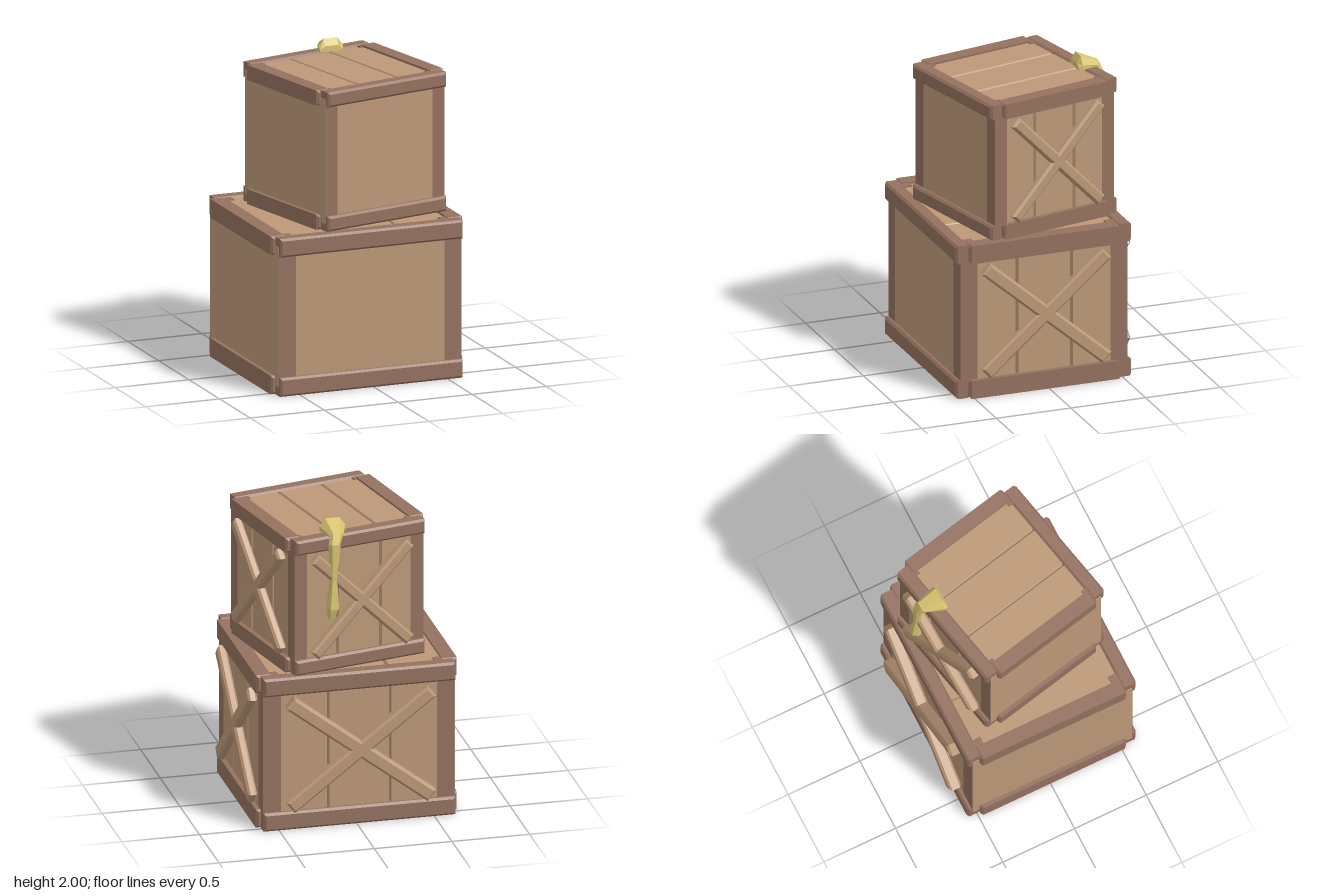
import * as THREE from 'three';

const frameBrown = new THREE.MeshStandardMaterial({ color: 0x94715f });
frameBrown.name = 'frameBrown';
const boardTan = new THREE.MeshStandardMaterial({ color: 0xbc9877 });
boardTan.name = 'boardTan';
const peelYellow = new THREE.MeshStandardMaterial({ color: 0xd8c470 });
peelYellow.name = 'peelYellow';

function add(parent, name, geometry, material, x = 0, y = 0, z = 0) {
  const mesh = new THREE.Mesh(geometry, material);
  mesh.name = name;
  mesh.position.set(x, y, z);
  parent.add(mesh);
  return mesh;
}

// Box with chamfered edges, centred on its origin
function bevelBox(w, h, d, b = 0.014) {
  const x = w / 2 - b, y = h / 2 - b;
  const shape = new THREE.Shape([[-x, -y], [x, -y], [x, y], [-x, y]].map(p => new THREE.Vector2(...p)));
  const geo = new THREE.ExtrudeGeometry(shape, {
    depth: d - 2 * b, bevelEnabled: true, bevelThickness: b, bevelSize: b, bevelSegments: 1,
  });
  return geo.translate(0, 0, b - d / 2);
}

// Boarding with two V grooves along z; outer face is up at y = 0
function boarding(width, length, groove) {
  const t = 0.026, gw = 0.011, gd = 0.018, x = width / 2;
  const pts = [[-x, -t], [x, -t], [x, 0]];
  for (const g of [groove, -groove]) pts.push([g + gw, 0], [g, -gd], [g - gw, 0]);
  pts.push([-x, 0]);
  const shape = new THREE.Shape(pts.map(p => new THREE.Vector2(...p)));
  return new THREE.ExtrudeGeometry(shape, { depth: length, bevelEnabled: false }).translate(0, 0, -length / 2);
}

// Diagonal cross brace facing +z, standing on z = 0
function crossBrace(name, dx, dy, width, depth) {
  const group = new THREE.Group();
  group.name = name;
  for (const s of [-1, 1]) {
    const plank = add(group, 'bracePlank', bevelBox(2 * Math.hypot(dx, dy), width, depth), boardTan, 0, 0, depth / 2);
    plank.rotation.z = s * Math.atan2(dy, dx);
  }
  return group;
}

function crate(name, { hx, hz, H, railH, railW, post, braceW, sideBrace, backBrace }) {
  const g = new THREE.Group();
  g.name = name;
  const out = 0.03, wallH = H - railH, midY = H / 2;
  const endX = hx - post, endZ = hz - post;

  add(g, 'core', new THREE.BoxGeometry(2 * hx - 0.04, H - 0.034, 2 * hz - 0.04), frameBrown, 0, midY - 0.013, 0);

  // Corner posts and the two rings of rails
  for (const sx of [-1, 1]) for (const sz of [-1, 1]) {
    add(g, 'cornerPost', new THREE.BoxGeometry(post, H - 0.01, post), frameBrown,
      sx * (hx - post / 2), midY, sz * (hz - post / 2));
  }
  for (const y of [railH / 2, H - railH / 2]) for (const s of [-1, 1]) {
    add(g, 'longRail', bevelBox(2 * hx, railH, railW), frameBrown, 0, y, s * (hz + out - railW / 2));
    add(g, 'sideRail', bevelBox(railW, railH, 2 * (hz - 0.053)), frameBrown, s * (hx + out - railW / 2), y, 0);
  }

  // Plain front and one plain side
  add(g, 'frontPanel', new THREE.BoxGeometry(2 * endX, wallH, 0.03), boardTan, 0, midY, hz - 0.015);
  add(g, 'plainSidePanel', new THREE.BoxGeometry(0.008, wallH, 2 * hz - 0.01), boardTan, -hx, midY, 0);

  // Grooved boards on the top, back and braced side
  const grooveX = 0.31 * (hx + out), grooveZ = 0.31 * (hz + out);
  add(g, 'topBoards', boarding(2 * endX, 2 * hz - 0.05, grooveX), boardTan, 0, H - 0.013, 0);
  for (const s of [-1, 1]) {
    add(g, 'topEdgeBoard', new THREE.BoxGeometry(post, 0.026, 2 * endZ), boardTan, s * (hx - post / 2 - 0.01), H - 0.026, 0);
  }
  add(g, 'backBoards', boarding(2 * endX, wallH, grooveX).rotateX(-Math.PI / 2), boardTan, 0, midY, -hz);
  add(g, 'sideBoards', boarding(2 * endZ, wallH, grooveZ).rotateX(-Math.PI / 2).rotateY(-Math.PI / 2),
    boardTan, hx, midY, 0);

  // Cross braces
  const side = crossBrace('sideBrace', ...sideBrace.slice(0, 2), braceW, sideBrace[2]);
  side.position.set(hx, midY, 0);
  side.rotation.y = Math.PI / 2;
  const back = crossBrace('backBrace', ...backBrace.slice(0, 2), braceW, backBrace[2]);
  back.position.set(0, midY, -hz);
  back.rotation.y = Math.PI;
  g.add(side, back);
  return g;
}

// Faceted peel draped over the back edge: x, y, z, width, height, tilt of each section
function drapedPeel() {
  const sections = [
    [0.115, 1.92, -0.368, 0.155, 0.035, 0],
    [0.117, 1.92, -0.392, 0.165, 0.08, 0],
    [0.12, 1.915, -0.505, 0.085, 0.035, 0.5],
    [0.135, 1.87, -0.515, 0.075, 0.035, 1.4],
    [0.142, 1.63, -0.515, 0.045, 0.035, 1.57],
    [0.15, 1.45, -0.52, 0.08, 0.05, 1.57],
    [0.157, 1.38, -0.52, 0.04, 0.03, 1.57],
  ];
  const outline = [[-0.5, 0], [-0.5, 0.38], [-0.28, 1], [0.28, 1], [0.5, 0.38], [0.5, 0]];
  const n = outline.length, pos = [], idx = [];
  for (const [x, y, z, w, h, a] of sections) {
    for (const [u, v] of outline) pos.push(x + u * w, y + v * h * Math.cos(a), z - v * h * Math.sin(a));
  }
  const last = (sections.length - 1) * n;
  for (let i = 0; i < last; i += n) for (let j = 0; j < n; j++) {
    const k = (j + 1) % n;
    idx.push(i + j, i + k, i + n + k, i + j, i + n + k, i + n + j);
  }
  for (let j = 1; j < n - 1; j++) idx.push(0, j + 1, j, last, last + j, last + j + 1);
  const geo = new THREE.BufferGeometry();
  geo.setAttribute('position', new THREE.Float32BufferAttribute(pos, 3));
  geo.setIndex(idx);
  const flat = geo.toNonIndexed();
  flat.computeVertexNormals();
  return flat;
}

export function createModel() {
  const model = new THREE.Group();
  model.name = 'stackedCrates';

  const lower = crate('lowerCrate', {
    hx: 0.6175, hz: 0.56, H: 1.02, railH: 0.12, railW: 0.095, post: 0.115, braceW: 0.09,
    sideBrace: [0.405, 0.35, 0.06], backBrace: [0.455, 0.35, 0.08],
  });
  lower.position.set(-0.0175, 0, 0.025);

  const upper = crate('upperCrate', {
    hx: 0.45, hz: 0.445, H: 0.9, railH: 0.097, railW: 0.095, post: 0.09, braceW: 0.075,
    sideBrace: [0.32, 0.325, 0.06], backBrace: [0.33, 0.325, 0.07],
  });
  upper.position.set(0.049, 1.02, 0.006);
  upper.rotation.y = 0.212;

  model.add(lower, upper);
  add(model, 'drapedPeel', drapedPeel(), peelYellow);
  return model;
}
